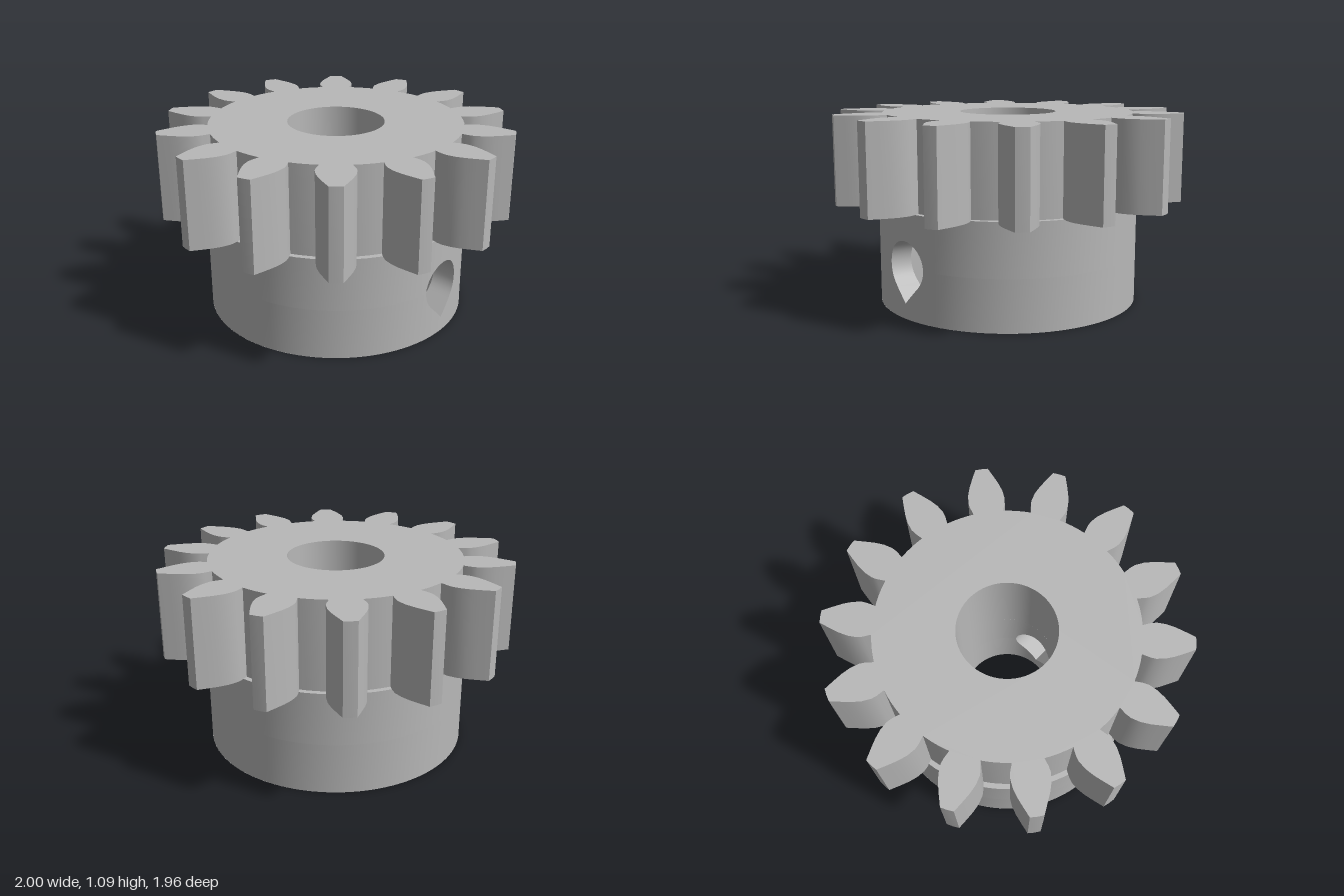
import * as THREE from 'three';
import { toCreasedNormals } from 'three/addons/utils/BufferGeometryUtils.js';

const HUB_R = 0.75, BORE_R = 0.275, HUB_H = 0.588, GEAR_H = 0.5;
const TEETH = 14, ROOT_R = 0.72;
const HOLE_R = 0.143, HOLE_Y = 0.29;              // teardrop screw hole
const TRAP_IN = 0.38, TRAP_OUT = 0.605, TRAP_W = 0.247; // nut pocket
const STEPS = 16;

// Ruled surface between two point lists of equal length
function strip(a, b) {
  const pos = [];
  for (let i = 0; i < a.length - 1; i++) {
    for (const p of [a[i], a[i + 1], b[i + 1], a[i], b[i + 1], b[i]]) pos.push(...p);
  }
  const g = new THREE.BufferGeometry();
  g.setAttribute('position', new THREE.Float32BufferAttribute(pos, 3));
  g.computeVertexNormals();
  return toCreasedNormals(g, 0.5);
}

// Teardrop edges as heights over z: round on top, pointed below
const half = z => Math.sqrt(Math.max(0, HOLE_R * HOLE_R - z * z));
const upper = z => HOLE_Y + half(z);
const lower = z => HOLE_Y - (Math.abs(z) < HOLE_R * Math.SQRT1_2
  ? HOLE_R * Math.SQRT2 - Math.abs(z) : half(z));
const holeZ = Array.from({ length: STEPS + 1 }, (_, k) => -HOLE_R * Math.cos(Math.PI * k / STEPS));
const teardrop = [
  ...holeZ.map(z => [z, upper(z)]),
  ...holeZ.slice(0, -1).reverse().map(z => [z, lower(z)]),
];

// Cylinder wall pierced by the teardrop on its +x side, as [lower, upper] point lists
function piercedWall(r) {
  const holeAngles = holeZ.map(z => Math.asin(z / r));
  const end = holeAngles[STEPS], n = 64;
  const rest = Array.from({ length: n }, (_, i) => end + (2 * Math.PI - 2 * end) * (i + 1) / n);
  const angles = [...holeAngles, ...rest];
  const at = f => angles.map((t, i) => {
    const z = -r * Math.sin(t);
    return [r * Math.cos(t), f(z, i <= STEPS), z];
  });
  return [
    [at(() => 0), at((z, hole) => hole ? lower(z) : HOLE_Y)],
    [at((z, hole) => hole ? upper(z) : HOLE_Y), at(() => HUB_H)],
  ];
}

function circlePath(r) {
  return new THREE.Path().absarc(0, 0, r, 0, Math.PI * 2, true);
}

// Gear outline, tooth by tooth: flank points are [along, half width]
function gearShape() {
  const flank = [[0.715, 0.083], [0.76, 0.098], [0.79, 0.103], [0.84, 0.098],
    [0.89, 0.083], [0.94, 0.062], [0.998, 0.036]];
  const tooth = [
    ...flank.map(([u, v]) => [u, -v]),
    [1, 0],
    ...flank.slice().reverse(),
  ];
  const pts = [];
  for (let i = 0; i < TEETH; i++) {
    const a = i * 2 * Math.PI / TEETH, c = Math.cos(a), s = Math.sin(a);
    for (const [u, v] of tooth) pts.push(new THREE.Vector2(u * c - v * s, u * s + v * c));
    for (const f of [0.38, 0.5, 0.62]) {
      const b = a + f * 2 * Math.PI / TEETH;
      pts.push(new THREE.Vector2(ROOT_R * Math.cos(b), ROOT_R * Math.sin(b)));
    }
  }
  const shape = new THREE.Shape(pts);
  shape.holes.push(circlePath(BORE_R));
  return shape;
}

export function createModel() {
  const model = new THREE.Group();
  const grey = new THREE.MeshStandardMaterial({ color: 0xb8b8b8, side: THREE.DoubleSide });
  grey.name = 'grey plastic';
  const add = (name, geometry, parent = model) => {
    const mesh = new THREE.Mesh(geometry, grey);
    mesh.name = name;
    parent.add(mesh);
    return mesh;
  };

  // Toothed wheel with bore
  const gear = new THREE.ExtrudeGeometry(gearShape(), { depth: GEAR_H, bevelEnabled: false, curveSegments: 64 });
  gear.rotateX(-Math.PI / 2).translate(0, HUB_H, 0);
  add('gearWheel', toCreasedNormals(gear, 0.5));

  // Hub: outer and bore walls
  const hub = new THREE.Group();
  hub.name = 'hub';
  model.add(hub);
  for (const [a, b] of piercedWall(HUB_R)) add('hubWall', strip(a, b), hub);
  for (const [a, b] of piercedWall(BORE_R)) add('boreWall', strip(b, a), hub);

  // Hub underside with bore and pocket opening
  const base = new THREE.Shape().absarc(0, 0, HUB_R, 0, Math.PI * 2, false);
  base.holes.push(circlePath(BORE_R), new THREE.Path([
    [TRAP_IN, -TRAP_W], [TRAP_IN, TRAP_W], [TRAP_OUT, TRAP_W], [TRAP_OUT, -TRAP_W],
  ].map(p => new THREE.Vector2(...p))));
  add('hubUnderside', new THREE.ShapeGeometry(base, 64).rotateX(Math.PI / 2), hub);

  // Hub rim seen between the teeth
  add('hubRim', new THREE.RingGeometry(0.68, HUB_R, 64).rotateX(-Math.PI / 2).translate(0, HUB_H, 0), hub);

  // Screw hole, from outside to pocket and from pocket to bore
  const ring = xAt => teardrop.map(([z, y]) => [xAt(z), y, z]);
  const onCylinder = r => z => Math.sqrt(r * r - z * z);
  add('screwHoleOuter', strip(ring(onCylinder(HUB_R)), ring(() => TRAP_OUT)), hub);
  add('screwHoleInner', strip(ring(() => TRAP_IN), ring(onCylinder(BORE_R))), hub);

  // Nut pocket: hexagonal roof, open at the bottom
  const rise = TRAP_W / Math.sqrt(3);
  const outline = [[-TRAP_W, 0], [-TRAP_W, HOLE_Y + rise], [0, HOLE_Y + 2 * rise],
    [TRAP_W, HOLE_Y + rise], [TRAP_W, 0]];
  const outlineAt = x => outline.map(([z, y]) => [x, y, z]);
  add('nutPocketWalls', strip(outlineAt(TRAP_OUT), outlineAt(TRAP_IN)), hub);
  const face = new THREE.Shape(outline.map(p => new THREE.Vector2(...p)));
  face.holes.push(new THREE.Path(teardrop.slice(0, -1).map(p => new THREE.Vector2(...p))));
  for (const [x, turn] of [[TRAP_IN, 1], [TRAP_OUT, -1]]) {
    add('nutPocketFace', new THREE.ShapeGeometry(face).rotateY(turn * Math.PI / 2).translate(x, 0, 0), hub);
  }
  return model;
}
